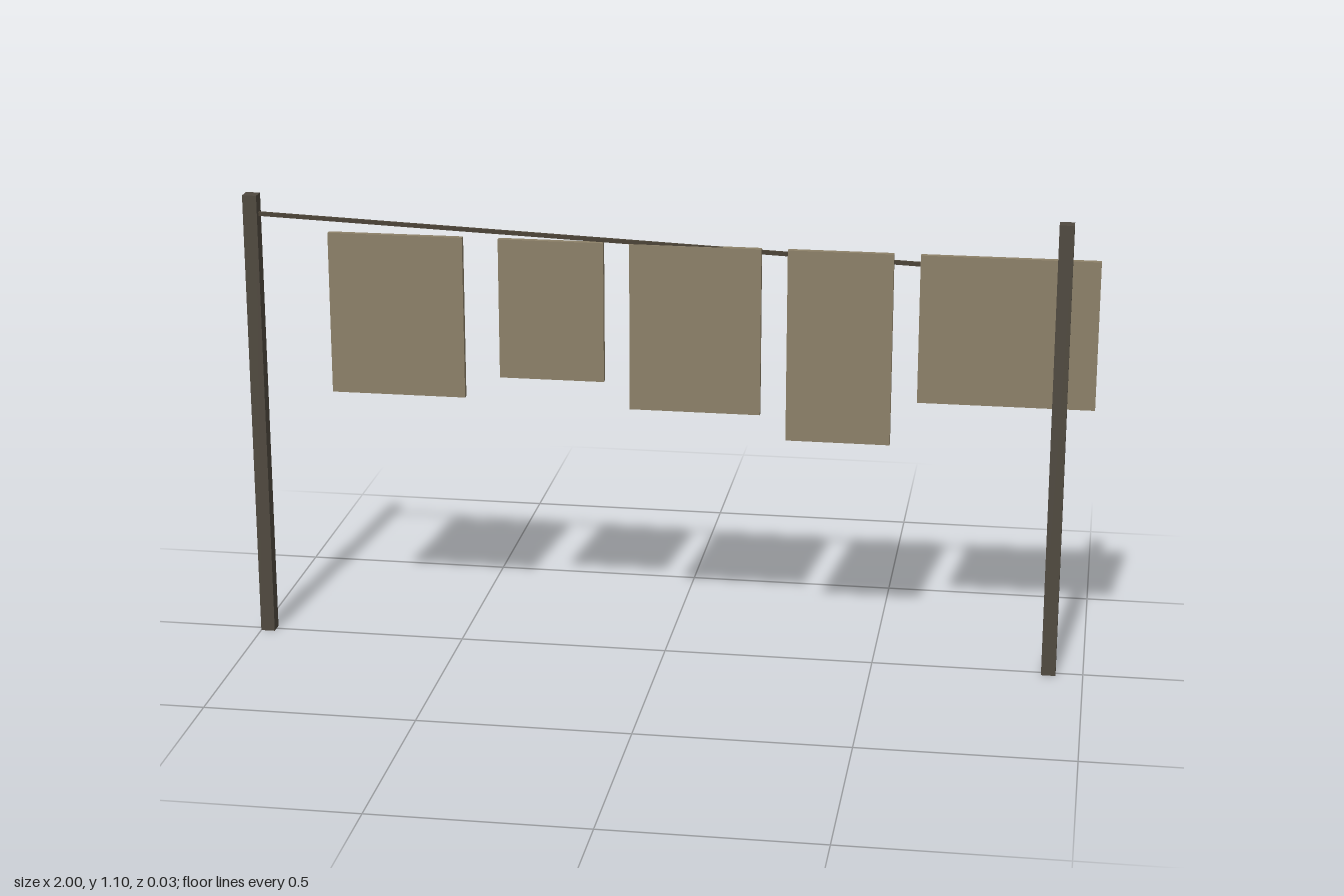
import * as THREE from 'three';

const wood = new THREE.MeshStandardMaterial({ name: 'darkWood', color: 0x4f493f });
const cloth = new THREE.MeshStandardMaterial({ name: 'drabCloth', color: 0x8c8068 });
const cord = new THREE.MeshStandardMaterial({ name: 'cord', color: 0x4a4235 });

// Box given by its left, right, bottom and top edges, centred on z = 0
function addBox(group, name, material, [x0, x1, y0, y1], depth) {
  const mesh = new THREE.Mesh(new THREE.BoxGeometry(x1 - x0, y1 - y0, depth), material);
  mesh.position.set((x0 + x1) / 2, (y0 + y1) / 2, 0);
  mesh.name = name;
  group.add(mesh);
}

export function createModel() {
  const model = new THREE.Group();
  model.name = 'clothesline';

  // Square posts
  addBox(model, 'rightPost', wood, [-1, -0.966, 0, 1.095], 0.034);
  addBox(model, 'leftPost', wood, [0.902, 0.936, 0, 1.095], 0.034);

  // Slanting line strung between the posts
  const start = new THREE.Vector3(-0.983, 1.049, 0);
  const end = new THREE.Vector3(0.919, 0.975, 0);
  const span = end.clone().sub(start);
  const line = new THREE.Mesh(new THREE.BoxGeometry(span.length(), 0.009, 0.009), cord);
  line.position.copy(start).add(end).multiplyScalar(0.5);
  line.rotation.z = Math.atan2(span.y, span.x);
  line.name = 'line';
  model.add(line);

  // Hanging cloths: left edge, right edge, bottom
  const cloths = [
    [-0.8, -0.478, 0.62],
    [-0.393, -0.144, 0.674],
    [-0.083, 0.225, 0.61],
    [0.286, 0.53, 0.551],
    [0.591, 1, 0.658],
  ];
  cloths.forEach(([x0, x1, y0], i) => {
    addBox(model, `cloth${i + 1}`, cloth, [x0, x1, y0, 1.01], 0.0145);
  });

  return model;
}
